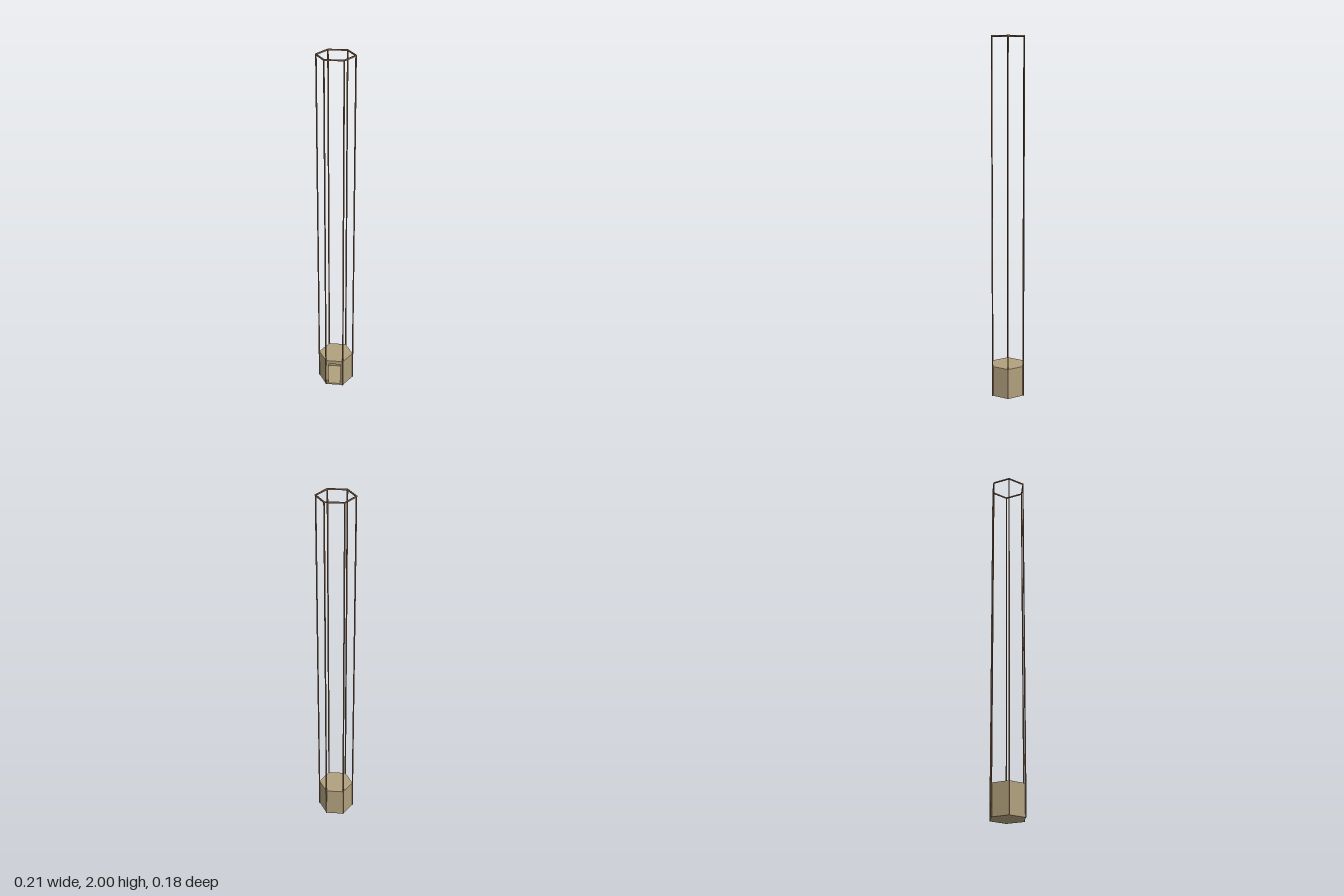
import * as THREE from 'three';

const R = 0.1;                       // corner radius of the hexagonal plan
const APOTHEM = R * Math.cos(Math.PI / 6);
const HEIGHT = 2, BASE_H = 0.174, WALL = 0.005, FLOOR = 0.01, POST_R = 0.004;

const stone = new THREE.MeshStandardMaterial({ color: 0xb0a07d, flatShading: true });
const wood = new THREE.MeshStandardMaterial({ color: 0x8f7059, flatShading: true });

function add(parent, name, geometry, material) {
  const mesh = new THREE.Mesh(geometry, material);
  mesh.name = name;
  parent.add(mesh);
  return mesh;
}

// Hexagon with corners on the x axis
function hexPoints(radius) {
  return Array.from({ length: 6 }, (_, i) => {
    const a = i * Math.PI / 3;
    return new THREE.Vector2(radius * Math.cos(a), radius * Math.sin(a));
  });
}

// Horizontal hexagonal plate or ring whose underside is at y
function hexPlate(radius, inner, y, height) {
  const shape = new THREE.Shape(hexPoints(radius));
  if (inner) shape.holes.push(new THREE.Path(hexPoints(inner).reverse()));
  const geo = new THREE.ExtrudeGeometry(shape, { depth: height, bevelEnabled: false });
  return geo.rotateX(-Math.PI / 2).translate(0, y, 0);
}

// Mitred wall panel, narrowing towards the inside, optionally with a doorway
function wallPanel(withDoor) {
  const shape = new THREE.Shape([[-R / 2, 0], [R / 2, 0], [R / 2, BASE_H], [-R / 2, BASE_H]]
    .map(([x, y]) => new THREE.Vector2(x, y)));
  if (withDoor) {
    shape.holes.push(new THREE.Path([[-0.035, FLOOR], [-0.035, 0.152], [0.035, 0.152], [0.035, FLOOR]]
      .map(([x, y]) => new THREE.Vector2(x, y))));
  }
  const geo = new THREE.ExtrudeGeometry(shape, { depth: WALL, bevelEnabled: false });
  geo.translate(0, 0, APOTHEM - WALL);
  const p = geo.attributes.position;
  for (let i = 0; i < p.count; i++) {
    if (Math.abs(p.getX(i)) > 0.04) p.setX(i, Math.sign(p.getX(i)) * p.getZ(i) / Math.sqrt(3));
  }
  geo.computeVertexNormals();
  return geo;
}

export function createModel() {
  const model = new THREE.Group();
  model.name = 'hexagonalTower';

  // Hollow base room with a doorway at the front
  const base = new THREE.Group();
  base.name = 'baseRoom';
  model.add(base);
  for (let i = 0; i < 6; i++) {
    add(base, i === 0 ? 'doorWall' : 'wall', wallPanel(i === 0), stone).rotation.y = i * Math.PI / 3;
  }
  add(base, 'floor', hexPlate(R - 0.001, 0, 0, FLOOR), stone);
  add(base, 'roof', hexPlate(R - 0.001, 0, BASE_H - WALL, WALL), stone);

  // Tall open frame: a six-sided post at every corner and a ring on top
  const frame = new THREE.Group();
  frame.name = 'frame';
  model.add(frame);
  for (const { x, y: z } of hexPoints(R)) {
    add(frame, 'cornerPost', hexPlate(POST_R, 0, 0, HEIGHT - 0.001), wood).position.set(x, 0, z);
  }
  add(frame, 'topRing', hexPlate(R + POST_R, R - POST_R + 0.001, HEIGHT - 0.007, 0.007), wood);

  return model;
}
